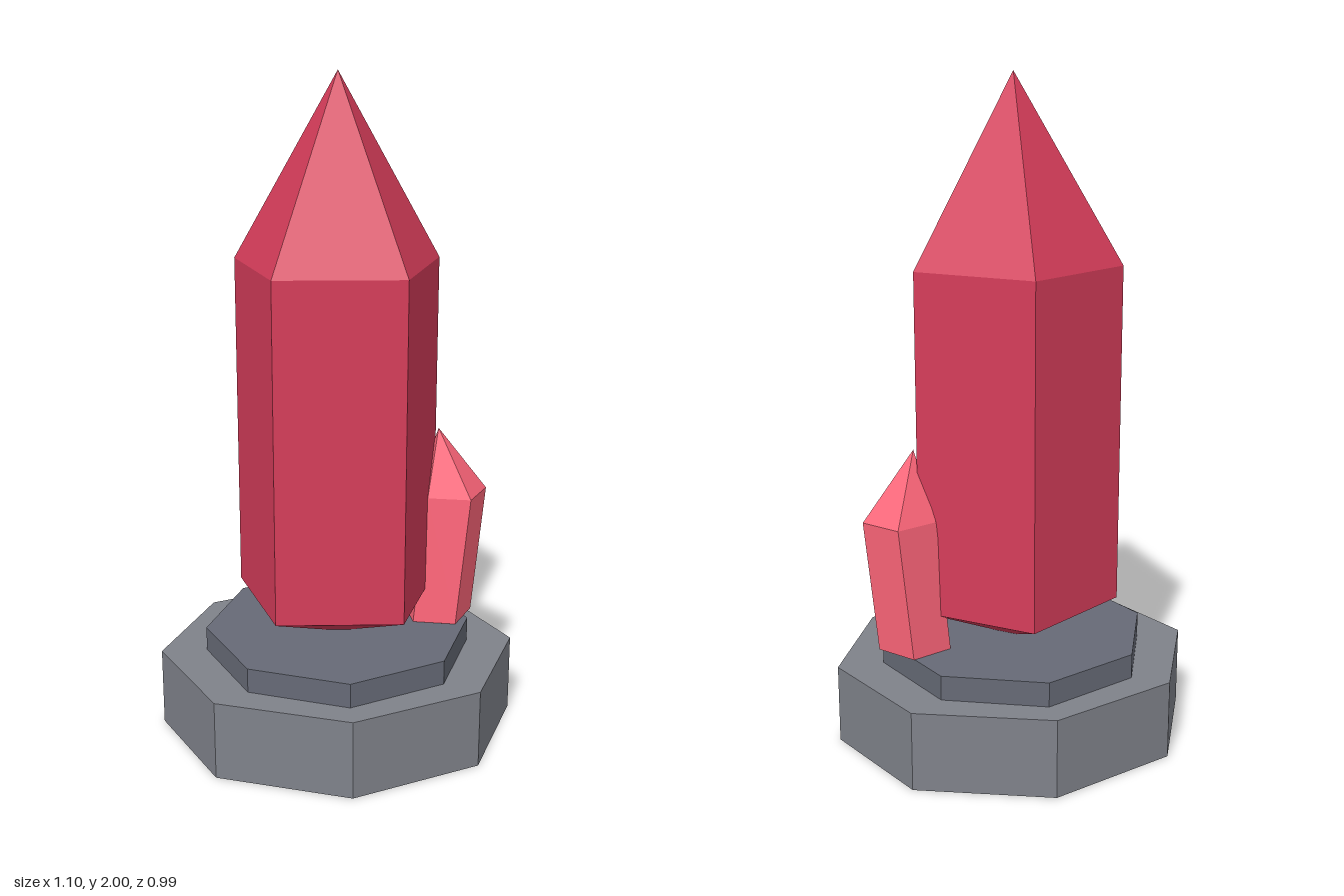
import * as THREE from 'three';

const material = (color) => new THREE.MeshStandardMaterial({ color, flatShading: true });

// Five-sided crystal lofted through rings given as [radius, y, centreX, centreZ]
function crystal(name, color, phase, rings) {
  const lathe = new THREE.LatheGeometry(
    rings.map(([r, y]) => new THREE.Vector2(r, y)), 5, THREE.MathUtils.degToRad(phase));
  const pos = lathe.attributes.position;
  for (let i = 0; i < pos.count; i++) {
    const [, , cx, cz] = rings[i % rings.length];
    pos.setX(i, pos.getX(i) + cx);
    pos.setZ(i, pos.getZ(i) + cz);
  }
  const geometry = lathe.toNonIndexed();
  geometry.computeVertexNormals();
  const mesh = new THREE.Mesh(geometry, material(color));
  mesh.name = name;
  return mesh;
}

// Octagonal slab with its corners on the x and z axes
function slab(name, color, radiusX, radiusZ, y0, y1) {
  const geometry = new THREE.CylinderGeometry(1, 1, y1 - y0, 8);
  geometry.scale(radiusX, 1, radiusZ);
  geometry.translate(0, (y0 + y1) / 2, 0);
  const mesh = new THREE.Mesh(geometry, material(color));
  mesh.name = name;
  return mesh;
}

export function createModel() {
  const group = new THREE.Group();
  group.name = 'crystalOnPedestal';

  group.add(
    // Stepped stone pedestal
    slab('pedestalBase', 0x7f828a, 0.55, 0.495, 0, 0.242),
    slab('pedestalStep', 0x666a76, 0.41, 0.41, 0.242, 0.317),
    // Upright main crystal
    crystal('mainCrystal', 0xd63d5a, 32.4, [
      [0, 0.29, 0, 0], [0.32, 0.43, 0, 0], [0.32, 1.455, 0, 0], [0, 2, 0, 0],
    ]),
    // Small crystal leaning outwards, with an off-centre tip
    crystal('smallCrystal', 0xff667a, 23, [
      [0, 0.267, 0.325, -0.06], [0.112, 0.318, 0.32, -0.058],
      [0.112, 0.725, 0.36, -0.065], [0, 0.93, 0.315, -0.055],
    ]),
  );
  return group;
}
